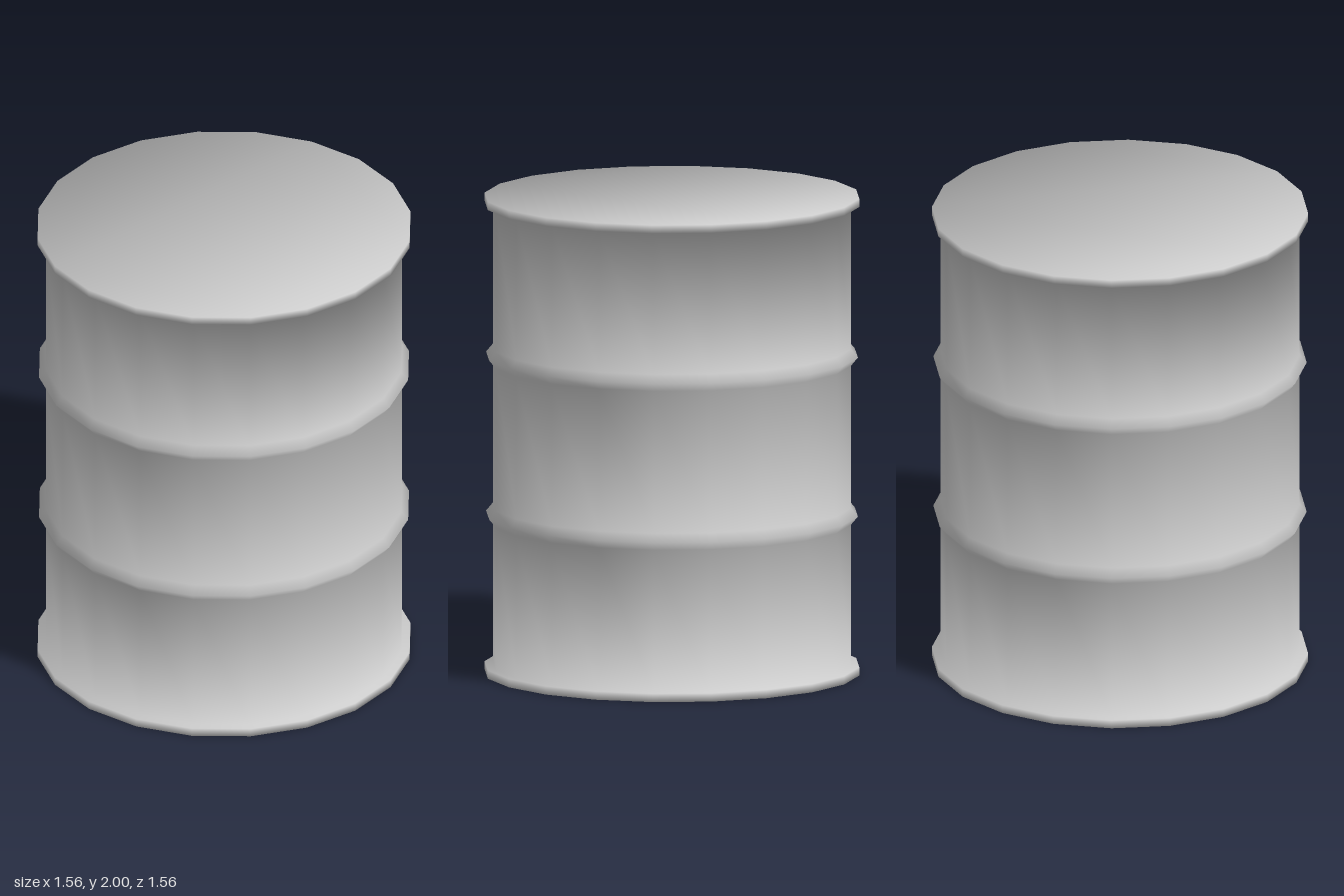
import * as THREE from 'three';

const SIDES = 20;
const RIM = 0.78, BODY = 0.745, RIB = 0.774, LIP = 0.035, HEIGHT = 2;

// Half-height of each pointed rib ring
const ribPoints = (y) => [[BODY, y - 0.035], [RIB, y], [BODY, y + 0.035]];

// Outline of the drum wall, from the bottom edge to the top edge
const profile = [
  [RIM, 0], [RIM, LIP], [BODY, LIP],
  ...ribPoints(HEIGHT / 3), ...ribPoints(HEIGHT * 2 / 3),
  [BODY, HEIGHT - LIP], [RIM, HEIGHT - LIP], [RIM, HEIGHT],
].map(([r, y]) => new THREE.Vector2(r, y));

// Evenly averaged normal at each outline point, with the end discs included
function profileNormals() {
  const all = [new THREE.Vector2(0, 0), ...profile, new THREE.Vector2(0, HEIGHT)];
  const side = (a, b) => new THREE.Vector2(b.y - a.y, a.x - b.x).normalize();
  return profile.map((p, i) => side(all[i], p).add(side(p, all[i + 2])).normalize());
}

// Softly shaded wall with rims and ribs
function wallGeometry() {
  const geometry = new THREE.LatheGeometry(profile, SIDES);
  const normals = profileNormals();
  const normal = geometry.attributes.normal;
  for (let i = 0; i < normal.count; i++) {
    const n = normals[i % profile.length];
    const angle = Math.floor(i / profile.length) / SIDES * Math.PI * 2;
    normal.setXYZ(i, n.x * Math.sin(angle), n.y, n.x * Math.cos(angle));
  }
  return geometry;
}

// Flat disc whose shading blends into the rim; up is 1 for the lid, -1 for the base
function discGeometry(up) {
  const points = Array.from({ length: SIDES }, (_, i) => {
    const angle = i / SIDES * Math.PI * 2;
    return new THREE.Vector2(RIM * Math.cos(angle), RIM * Math.sin(angle));
  });
  const geometry = new THREE.ShapeGeometry(new THREE.Shape(points));
  geometry.rotateX(-up * Math.PI / 2);
  geometry.translate(0, up > 0 ? HEIGHT : 0, 0);
  const { position, normal } = geometry.attributes;
  for (let i = 0; i < position.count; i++) {
    const n = new THREE.Vector3(position.getX(i), up * RIM, position.getZ(i)).normalize();
    normal.setXYZ(i, n.x, n.y, n.z);
  }
  return geometry;
}

export function createModel() {
  const group = new THREE.Group();
  group.name = 'drum';
  const material = new THREE.MeshStandardMaterial({ color: 0xcccccc });
  const add = (name, geometry) => {
    const mesh = new THREE.Mesh(geometry, material);
    mesh.name = name;
    group.add(mesh);
  };
  add('ribbedWall', wallGeometry());
  add('lid', discGeometry(1));
  add('base', discGeometry(-1));
  return group;
}
